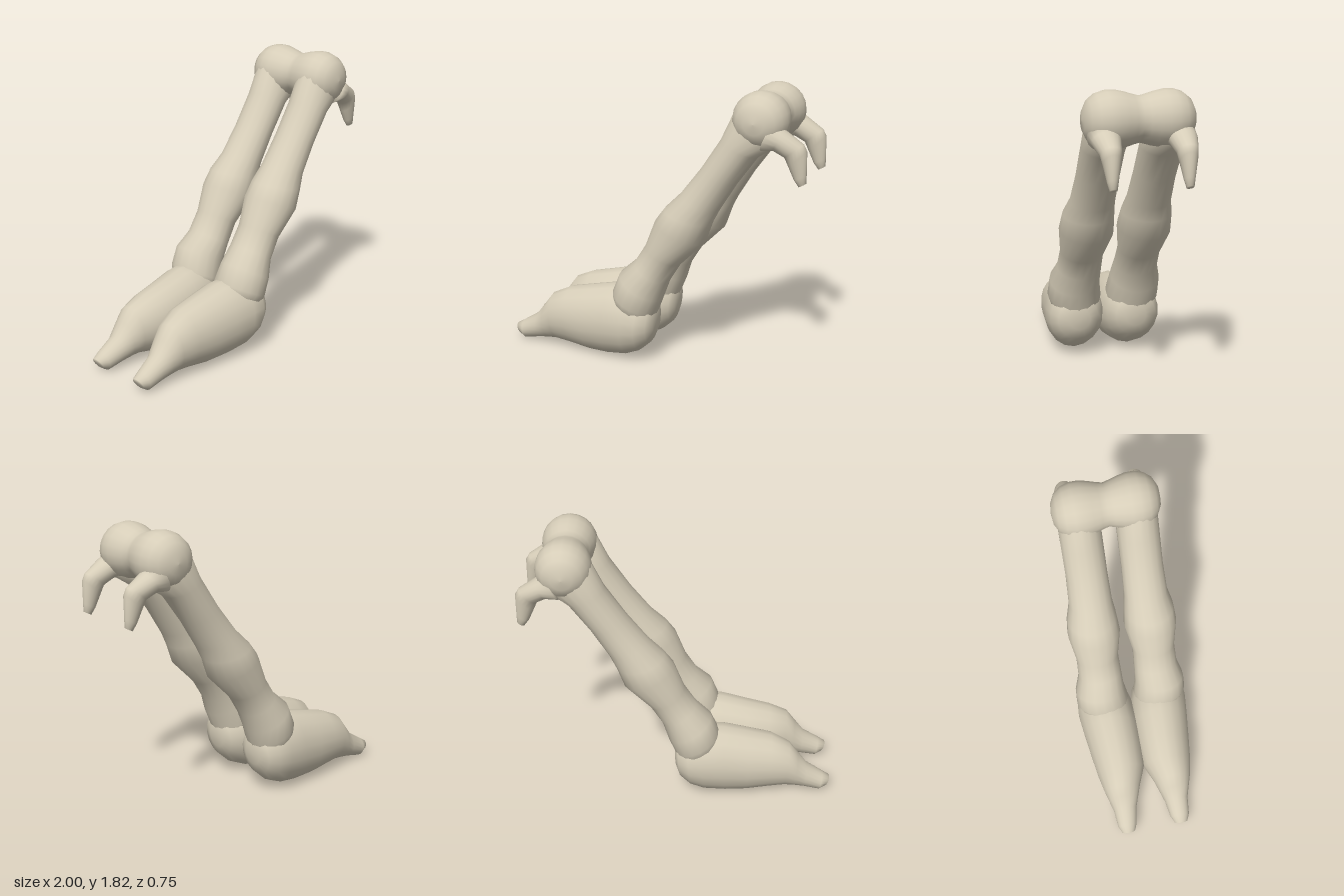
import * as THREE from 'three';

const SIDES = 18;

// Each ring: [ax, ay, bx, by, zInner, zOuter]; a and b are opposite edge points in the xy plane.
function loft(rings, side) {
  const pos = [], idx = [];
  const centre = ([ax, ay, bx, by, z0, z1]) => [(ax + bx) / 2, (ay + by) / 2, side * (z0 + z1) / 2];
  for (const r of rings) {
    const [cx, cy, cz] = centre(r);
    const ux = (r[2] - r[0]) / 2, uy = (r[3] - r[1]) / 2, hz = (r[5] - r[4]) / 2;
    for (let j = 0; j < SIDES; j++) {
      const t = (j / SIDES) * Math.PI * 2;
      pos.push(cx + ux * Math.cos(t), cy + uy * Math.cos(t), cz + hz * Math.sin(t));
    }
  }
  const last = (rings.length - 1) * SIDES, c0 = rings.length * SIDES;
  pos.push(...centre(rings[0]), ...centre(rings[rings.length - 1]));
  for (let j = 0; j < SIDES; j++) {
    const k = (j + 1) % SIDES;
    for (let i = 0; i < last; i += SIDES) {
      idx.push(i + j, i + SIDES + j, i + k, i + k, i + SIDES + j, i + SIDES + k);
    }
    idx.push(c0, j, k, c0 + 1, last + k, last + j);
  }
  const g = new THREE.BufferGeometry();
  g.setAttribute('position', new THREE.Float32BufferAttribute(pos, 3));
  g.setIndex(idx);
  g.computeVertexNormals();
  return g;
}

// Swollen horizontal lower body, from the narrow tail tip to the rounded end
const BODY = [
  [-1.0, 0.10, -0.965, 0.03, 0.14, 0.23],
  [-0.95, 0.13, -0.93, 0.005, 0.12, 0.25],
  [-0.84, 0.20, -0.83, 0.025, 0.10, 0.26],
  [-0.78, 0.28, -0.76, 0.035, 0.075, 0.28],
  [-0.72, 0.36, -0.69, 0.04, 0.05, 0.30],
  [-0.60, 0.415, -0.58, 0.025, 0.00, 0.325],
  [-0.45, 0.45, -0.44, 0.005, -0.015, 0.345],
  [-0.28, 0.49, -0.30, 0.005, -0.02, 0.365],
  [-0.14, 0.50, -0.16, 0.025, -0.01, 0.38],
  [-0.04, 0.47, -0.07, 0.065, 0.015, 0.37],
  [0.02, 0.41, 0.0, 0.13, 0.06, 0.33],
  [0.038, 0.34, 0.03, 0.20, 0.12, 0.26],
];

// Slanted column with a bulge half way up
const COLUMN = [
  [-0.26, 0.38, 0.0, 0.22, 0.05, 0.33],
  [-0.25, 0.48, 0.04, 0.34, 0.02, 0.375],
  [-0.20, 0.60, 0.08, 0.44, 0.04, 0.37],
  [-0.10, 0.69, 0.12, 0.56, 0.045, 0.335],
  [-0.025, 0.81, 0.20, 0.69, 0.05, 0.33],
  [0.04, 0.98, 0.36, 0.85, 0.015, 0.36],
  [0.10, 1.06, 0.405, 0.98, 0.025, 0.35],
  [0.20, 1.16, 0.45, 1.07, 0.04, 0.32],
  [0.33, 1.33, 0.56, 1.25, 0.045, 0.31],
  [0.46, 1.53, 0.69, 1.43, 0.045, 0.31],
  [0.55, 1.73, 0.80, 1.50, 0.045, 0.31],
  [0.62, 1.76, 0.80, 1.58, 0.09, 0.28],
];

// Drooping hook in front of the head
const HOOK = [
  [0.80, 1.66, 0.72, 1.48, 0.11, 0.32],
  [0.87, 1.61, 0.80, 1.49, 0.14, 0.31],
  [0.975, 1.54, 0.865, 1.455, 0.16, 0.285],
  [0.997, 1.50, 0.89, 1.40, 0.17, 0.275],
  [1.0, 1.36, 0.925, 1.325, 0.19, 0.255],
  [1.0, 1.31, 0.955, 1.285, 0.20, 0.245],
];

// Two round heads joined by a waist, turned about the z axis: [radius, z]
const HEAD_HALF = [
  [0.135, 0], [0.145, 0.04], [0.16, 0.09], [0.172, 0.145], [0.172, 0.20],
  [0.155, 0.255], [0.12, 0.30], [0.065, 0.328], [0, 0.335],
];

export function createModel() {
  const model = new THREE.Group();
  model.name = 'pairedFigures';
  const clay = new THREE.MeshStandardMaterial({ color: 0xd6cdb8 });
  clay.name = 'pale clay';

  const add = (name, geometry) => {
    const mesh = new THREE.Mesh(geometry, clay);
    mesh.name = name;
    model.add(mesh);
  };

  for (const [label, side] of [['Front', 1], ['Back', -1]]) {
    add('body' + label, loft(BODY, side));
    add('column' + label, loft(COLUMN, side));
    add('hook' + label, loft(HOOK, side));
  }

  // Joined heads
  const profile = [
    ...HEAD_HALF.slice(1).reverse().map(([r, z]) => new THREE.Vector2(r, -z)),
    ...HEAD_HALF.map(([r, z]) => new THREE.Vector2(r, z)),
  ];
  const heads = new THREE.LatheGeometry(profile, 20);
  heads.rotateX(Math.PI / 2);
  heads.translate(0.7, 1.655, 0);
  add('joinedHeads', heads);

  return model;
}
